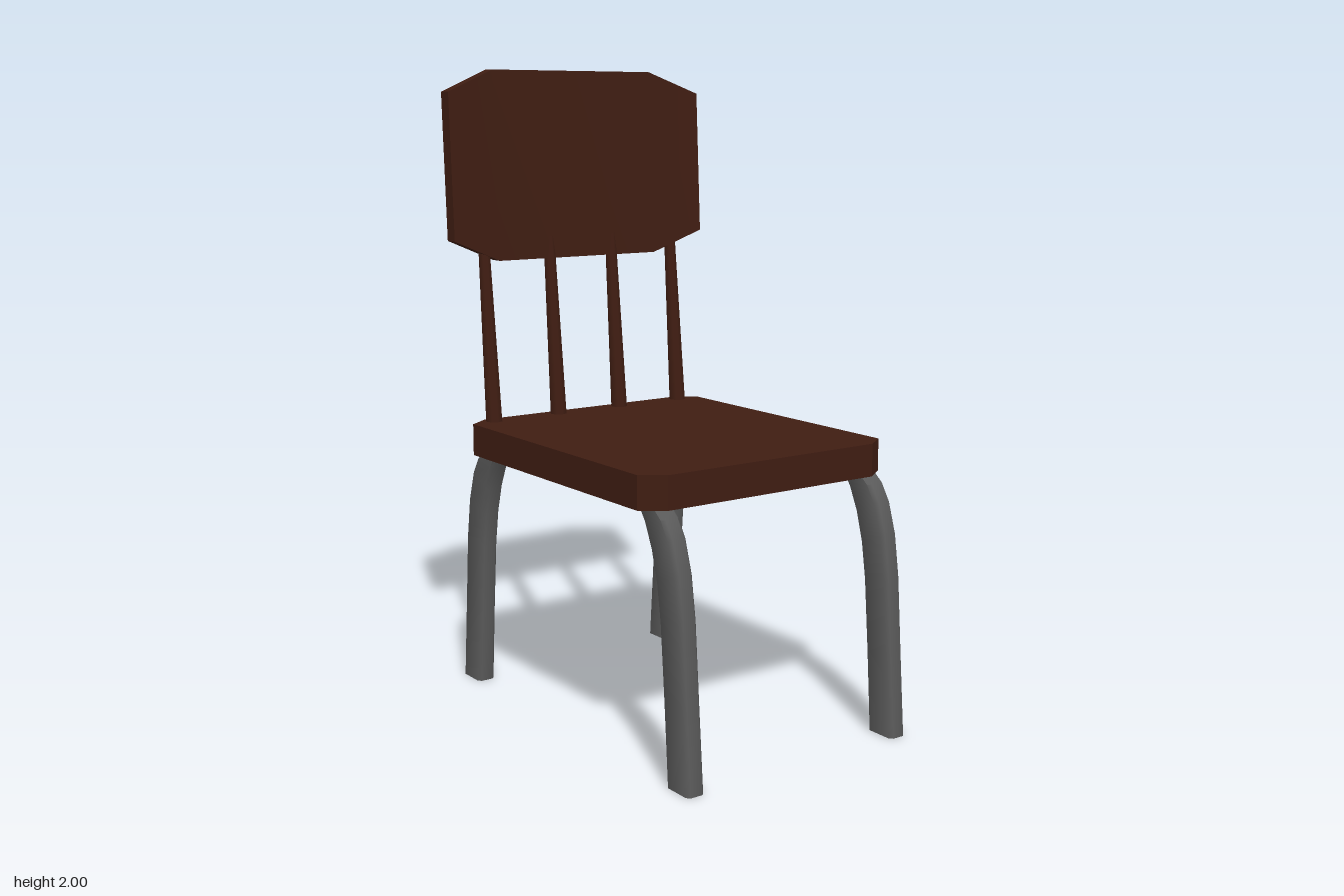
import * as THREE from 'three';
import { toCreasedNormals } from 'three/addons/utils/BufferGeometryUtils.js';

// Skin a list of equal-length rings, closed with a cap at each end.
// Rings run anticlockwise as seen from the last ring's end.
function loft(rings, crease) {
  const n = rings[0].length, last = (rings.length - 1) * n, index = [];
  for (let r = 0; r < rings.length - 1; r++) {
    for (let i = 0; i < n; i++) {
      const a = r * n + i, b = r * n + (i + 1) % n;
      index.push(a, b, b + n, a, b + n, a + n);
    }
  }
  for (let i = 1; i < n - 1; i++) {
    index.push(0, i + 1, i, last, last + i, last + i + 1);
  }
  const geo = new THREE.BufferGeometry();
  geo.setAttribute('position', new THREE.Float32BufferAttribute(rings.flat(2), 3));
  geo.setIndex(index);
  return toCreasedNormals(geo, crease);
}

export function createModel() {
  const chair = new THREE.Group();
  chair.name = 'chair';
  const wood = new THREE.MeshStandardMaterial({ color: 0x40201a });
  wood.color.set(0x3f1d12);
  const metal = new THREE.MeshStandardMaterial({ color: 0x5a5a5a });

  const add = (name, geometry, material) => {
    const mesh = new THREE.Mesh(geometry, material);
    mesh.name = name;
    chair.add(mesh);
    return mesh;
  };

  // Seat: slab with clipped corners, drawn in x and -z then laid flat
  const x0 = -0.5, x1 = 0.52, z0 = -0.46, z1 = 0.43, cx = 0.05, cz = 0.07;
  const outline = [
    [x0 + cx, -z1], [x1 - cx, -z1], [x1, -z1 + cz], [x1, -z0 - cz],
    [x1 - cx, -z0], [x0 + cx, -z0], [x0, -z0 - cz], [x0, -z1 + cz],
  ].map(([x, y]) => new THREE.Vector2(x, y));
  const seat = new THREE.ExtrudeGeometry(new THREE.Shape(outline), { depth: 0.1, bevelEnabled: false });
  seat.rotateX(-Math.PI / 2).translate(0, 0.79, 0);
  add('seat', seat, wood);

  // Legs: bent flat bars; each step gives inner x, y and outer x, y
  const bend = [
    [0.535, 0, 0.64, 0],
    [0.518, 0.25, 0.62, 0.25],
    [0.5, 0.47, 0.602, 0.49],
    [0.483, 0.58, 0.583, 0.62],
    [0.458, 0.67, 0.553, 0.715],
    [0.425, 0.745, 0.52, 0.765],
    [0.39, 0.795, 0.48, 0.795],
  ];
  const h = 0.03, b = 0.01; // half width and corner bevel
  const section = [
    [1, h - b], [1, b - h], [0.9, -h], [0.1, -h],
    [0, b - h], [0, h - b], [0.1, h], [0.9, h],
  ];
  const legGeo = loft(bend.map(([xi, yi, xo, yo]) =>
    section.map(([u, z]) => [xi + (xo - xi) * u, yi + (yo - yi) * u, z])), 0.9);
  for (const z of [0.35, -0.41]) {
    add('frontLeg', legGeo, metal).position.z = z;
    const back = add('backLeg', legGeo, metal);
    back.position.z = z;
    back.rotation.y = Math.PI;
  }

  // Spindles: tapered rods leaning back into the backrest
  for (const z of [0.348, 0.105, -0.135, -0.377]) {
    const from = new THREE.Vector3(-0.458, 0.87, z);
    const to = new THREE.Vector3(-0.508, 1.47, z);
    const axis = to.clone().sub(from);
    const rod = add('spindle', new THREE.CylinderGeometry(0.018, 0.027, axis.length(), 8), wood);
    rod.position.copy(from).add(to).multiplyScalar(0.5);
    rod.quaternion.setFromUnitVectors(new THREE.Vector3(0, 1, 0), axis.normalize());
  }

  // Backrest: leaning panel whose shorter ends curve forward
  const panel = [[-0.475, 1.47, 1.93, 0.03], [-0.3, 1.4, 2, 0], [0.3, 1.4, 2, 0], [0.475, 1.47, 1.93, 0.03]];
  const thick = 0.046;
  const backX = (y) => -0.535 - 0.05 * (y - 1.4);
  add('backrest', loft(panel.map(([z, lo, hi, forward]) => {
    const l = backX(lo) + forward, t = backX(hi) + forward;
    return [[l, lo, z], [l + thick, lo, z], [t + thick, hi, z], [t, hi, z]];
  }), 0.6), wood);

  return chair;
}
